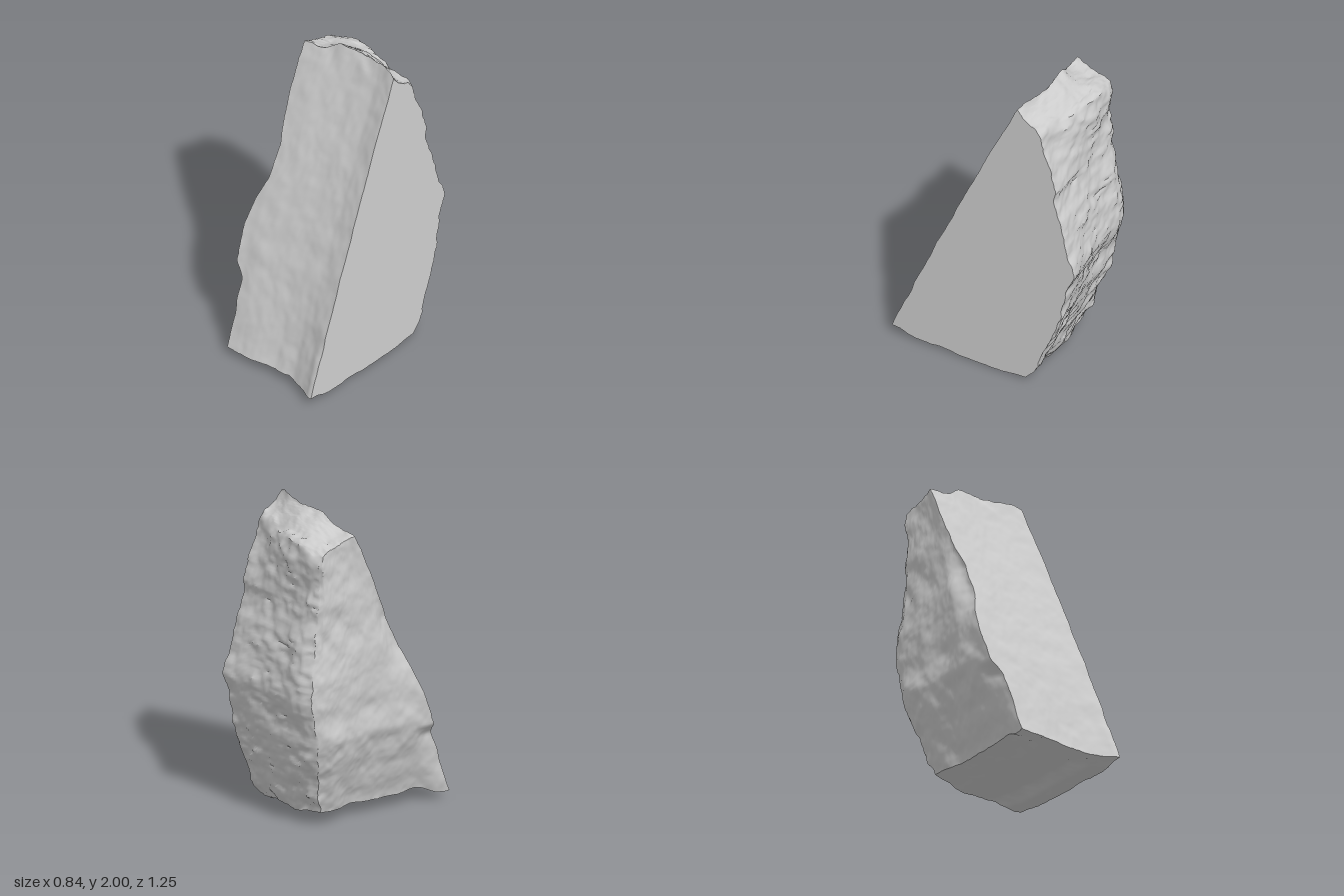
import * as THREE from 'three';
import { mergeVertices, toCreasedNormals } from 'three/addons/utils/BufferGeometryUtils.js';

const { lerp, smoothstep, clamp } = THREE.MathUtils;

// Piecewise linear profile through [position, value] pairs.
function profile(points, t) {
  if (t <= points[0][0]) return points[0][1];
  for (let i = 1; i < points.length; i++) {
    const [a, va] = points[i - 1], [b, vb] = points[i];
    if (t <= b) return lerp(va, vb, (t - a) / (b - a));
  }
  return points[points.length - 1][1];
}

// Seeded lattice noise in -1..1.
function hash(x, y, z) {
  let h = Math.imul(x, 374761393) ^ Math.imul(y, 668265263) ^ Math.imul(z, 1274126177);
  h = Math.imul(h ^ (h >>> 13), 1103515245);
  return ((h ^ (h >>> 16)) >>> 0) / 2147483648 - 1;
}
function noise(x, y, z) {
  const i = Math.floor(x), j = Math.floor(y), k = Math.floor(z);
  const s = (t) => t * t * (3 - 2 * t);
  const a = s(x - i), b = s(y - j), c = s(z - k);
  const row = (q, r) => lerp(hash(i, j + q, k + r), hash(i + 1, j + q, k + r), a);
  return lerp(lerp(row(0, 0), row(1, 0), b), lerp(row(0, 1), row(1, 1), b), c);
}
function rough(x, y, z, frequency, octaves = 4) {
  let sum = 0, amp = 0.55;
  for (let o = 0; o < octaves; o++, frequency *= 2.1, amp *= 0.5) {
    sum += amp * noise(x * frequency + o * 17, y * frequency + 5, z * frequency + 9);
  }
  return sum;
}

// Outlines of the broken faces: [height, offset].
const LEFT_FRONT = [[0, -0.3], [0.35, -0.32], [0.47, -0.33], [0.55, -0.4], [0.8, -0.41],
  [0.95, -0.39], [1.1, -0.345], [1.3, -0.33], [1.45, -0.36], [1.6, -0.38], [1.9, -0.385]];
const LEFT_BACK = [[0, -0.22], [0.15, -0.26], [0.35, -0.325], [0.45, -0.365], [0.6, -0.405],
  [0.9, -0.405], [1.1, -0.395], [1.3, -0.38], [1.6, -0.38], [1.9, -0.37]];
const BACK_RIGHT = [[0, -0.29], [0.05, -0.33], [0.2, -0.41], [0.5, -0.51], [0.7, -0.57],
  [0.86, -0.615], [0.94, -0.605], [1.1, -0.555], [1.3, -0.505], [1.5, -0.46], [1.7, -0.415], [1.85, -0.36], [1.95, -0.3], [2, -0.24]];
const BACK_LEFT = [[0, -0.32], [0.2, -0.4], [0.5, -0.48], [0.86, -0.555], [1.1, -0.535],
  [1.3, -0.505], [1.45, -0.48], [1.6, -0.465], [1.75, -0.485], [1.85, -0.46]];
// Edges across the width: [u, height].
const TOP_FRONT = [[0, 1.89], [0.2, 1.93], [0.35, 1.975], [0.8, 1.995], [0.95, 1.985], [1, 1.97]];
const TOP_BACK = [[0, 1.79], [0.2, 1.83], [0.6, 1.85], [1, 1.85]];
const BOTTOM_BACK = [[0, 0.09], [0.3, 0.06], [0.72, 0.055], [0.84, 0.01], [1, 0.005]];
// Depth of the hollow in the front face: [u, depth].
const HOLLOW_LOW = [[0, 0.045], [0.28, 0.045], [0.5, 0.08], [0.7, 0.078], [0.87, 0.035], [0.96, 0]];
const HOLLOW_HIGH = [[0, 0.03], [0.2, 0.03], [0.35, 0.04], [0.55, 0.047], [0.8, 0.04], [1, 0.005]];

// Flat, tilted cut on the right.
const cut = (y, z) => 0.412 - 0.037 * y + 0.0185 * z;

// u: left to right, v: bottom to top, w: back to front, each 0..1.
function stonePoint(u, v, w, target) {
  const behind = 1 - smoothstep(w, 0.78, 0.98);
  const bottom = lerp(0.05, profile(BOTTOM_BACK, u), behind) + 0.02 * behind * w * u;
  const top = lerp(profile(TOP_BACK, u), profile(TOP_FRONT, u), Math.pow(w, 0.7));
  let y = lerp(bottom, top, v);

  // Sloping, hollow front and bulging back.
  const hollow = lerp(profile(HOLLOW_LOW, u), profile(HOLLOW_HIGH, u), smoothstep(y, 0, 0.7));
  const front = 0.645 - 0.43 * y + 0.025 * Math.sin(Math.PI * y / 2) - hollow;
  const back = lerp(profile(BACK_LEFT, y), profile(BACK_RIGHT, y), smoothstep(u, 0.3, 1));
  let z = lerp(back, front, w);

  // Left side, scooped at its front edge, undercut below, with a shallow valley.
  const valley = 0.03 * Math.exp(-(((z + 0.06) / 0.14) ** 2)) * (1 - smoothstep(y, 0.8, 1.2));
  let x = lerp(lerp(profile(LEFT_FRONT, y), profile(LEFT_BACK, y), behind) + valley, cut(y, z), u);

  // Rounded corner between left and back.
  const corner = Math.max(0, 1 - u / 0.12) * Math.max(0, 1 - w / 0.12);
  x += 0.02 * corner;
  z += 0.03 * corner;

  // Layered break texture, strongest on the back, absent on the cut.
  const near = (d) => Math.max(0, 1 - d / 0.15);
  const px = x, py = y, pz = z;
  z += near(w) * (0.03 * rough(px, py * 1.1, pz, 8, 4) - 0.01 * Math.abs(noise(px * 9, py * 24, 3)));
  z += near(1 - w) * 0.01 * rough(px * 1.3, py, pz, 9, 3);
  x += near(u) * 0.025 * rough(px, py, pz * 1.2 + 4, 8, 4) * (1 - 0.5 * w);
  y += near(1 - v) * 0.03 * rough(px, py + 7, pz * 1.6, 8);
  y += near(v) * 0.02 * rough(px, py + 3, pz, 8);
  if (u > 0.9999) x = cut(y, z);
  target.set(x, clamp(y, 0, 2), z);
}

export function createModel() {
  const group = new THREE.Group();
  group.name = 'stoneFragment';

  let geometry = new THREE.BoxGeometry(1, 1, 1, 48, 112, 64);
  geometry.deleteAttribute('uv');
  geometry.deleteAttribute('normal');
  geometry = mergeVertices(geometry);
  const position = geometry.attributes.position;
  const p = new THREE.Vector3();
  for (let i = 0; i < position.count; i++) {
    stonePoint(position.getX(i) + 0.5, position.getY(i) + 0.5, position.getZ(i) + 0.5, p);
    position.setXYZ(i, p.x, p.y, p.z);
  }
  geometry = toCreasedNormals(geometry, 0.7);

  const stone = new THREE.Mesh(geometry, new THREE.MeshStandardMaterial({ color: 0xcccccc, roughness: 0.9 }));
  stone.name = 'stone';
  group.add(stone);
  return group;
}
